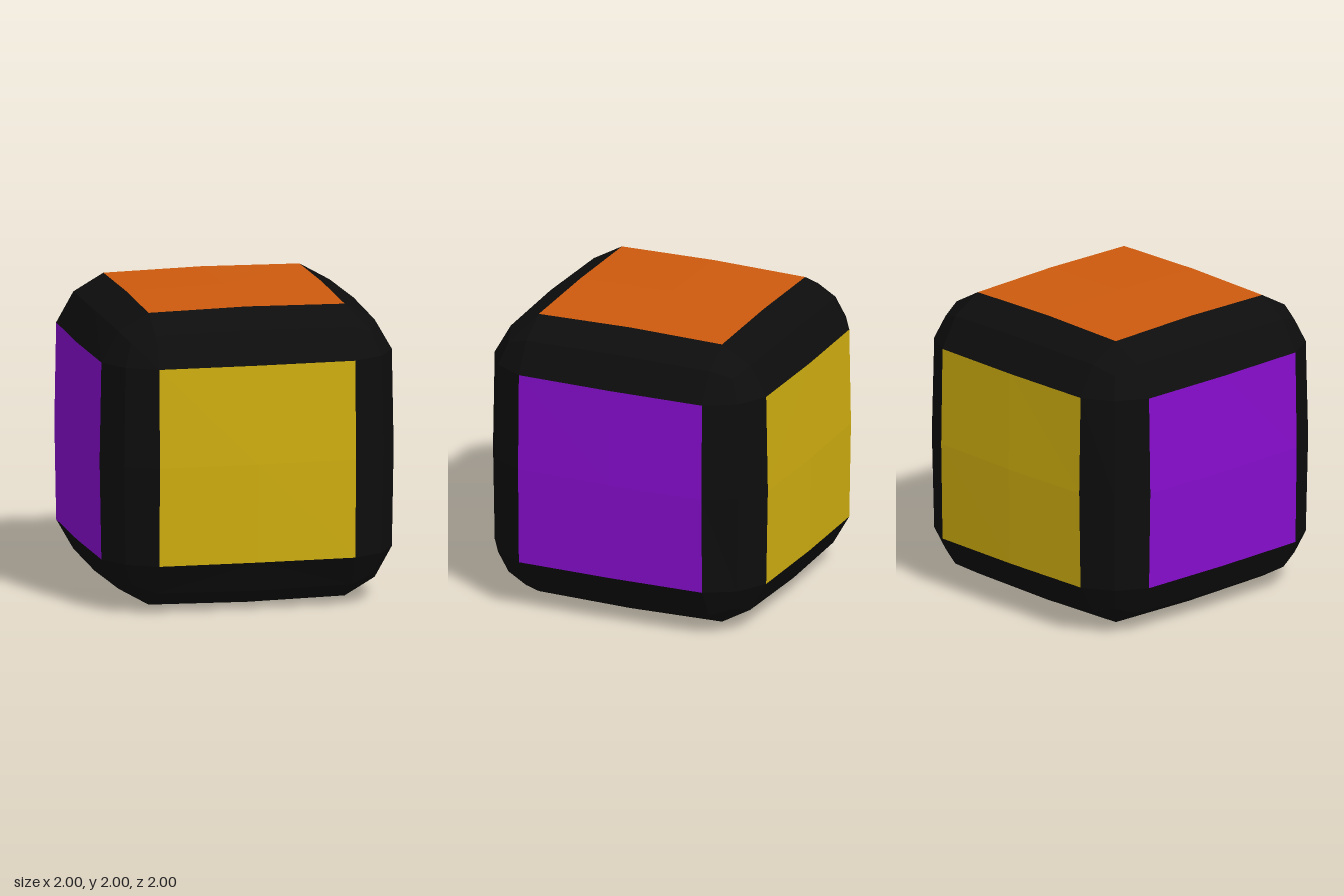
import * as THREE from 'three';

// Lattice steps -2..2 per axis; reach of an outer coordinate, by the steps of the other two axes
const REACH = [[1], [0.984, 0.972], [0.868, 0.857, 0.805]];
const PANEL = 0.656;

function latticePoint(p) {
  return p.map((v, axis) => {
    const a = Math.abs(v);
    if (a === 0) return 0;
    if (a === 1) return Math.sign(v) * PANEL;
    const others = p.filter((_, k) => k !== axis).map(Math.abs);
    return Math.sign(v) * REACH[Math.max(...others)][Math.min(...others)];
  });
}

// Flat-shaded cells of one cube side: the inner four (panel) or the outer ring (rim)
function sideCells(axis, sign, inner, out) {
  const at = (u, v) => {
    const p = [0, 0, 0];
    p[axis] = 2 * sign;
    p[(axis + 1) % 3] = u;
    p[(axis + 2) % 3] = v;
    return latticePoint(p);
  };
  for (let u = -2; u < 2; u++) {
    for (let v = -2; v < 2; v++) {
      const isInner = u >= -1 && u < 1 && v >= -1 && v < 1;
      if (isInner !== inner) continue;
      let q = [at(u, v), at(u + 1, v), at(u + 1, v + 1), at(u, v + 1)];
      if (sign < 0) q.reverse();
      // run each diagonal outward from the middle of the side
      const alongMain = (u >= 0) === (v >= 0);
      if (alongMain !== (sign > 0)) q = [q[1], q[2], q[3], q[0]];
      if (sign < 0) q = [q[1], q[2], q[3], q[0]];
      for (const k of [0, 1, 2, 0, 2, 3]) out.push(...q[k]);
    }
  }
}

function makeMesh(name, points, material) {
  const geometry = new THREE.BufferGeometry();
  geometry.setAttribute('position', new THREE.Float32BufferAttribute(points, 3));
  geometry.computeVertexNormals();
  const mesh = new THREE.Mesh(geometry, material);
  mesh.name = name;
  mesh.position.y = 1;
  return mesh;
}

function mat(name, color) {
  const m = new THREE.MeshStandardMaterial({ color });
  m.name = name;
  return m;
}

export function createModel() {
  const group = new THREE.Group();
  group.name = 'roundedCube';
  const black = mat('black', 0x0d0d0d);
  const colours = [mat('purple', 0x860dcd), mat('orange', 0xcd5a0e), mat('yellow', 0xcfae10)];
  const names = [['rightPanel', 'leftPanel'], ['bottomPanel', 'topPanel'], ['backPanel', 'frontPanel']];

  // Black rounded frame and one coloured panel per side
  const frame = [];
  for (let axis = 0; axis < 3; axis++) {
    [-1, 1].forEach((sign, s) => {
      sideCells(axis, sign, false, frame);
      const panel = [];
      sideCells(axis, sign, true, panel);
      group.add(makeMesh(names[axis][s], panel, colours[axis]));
    });
  }
  group.add(makeMesh('frame', frame, black));
  return group;
}
